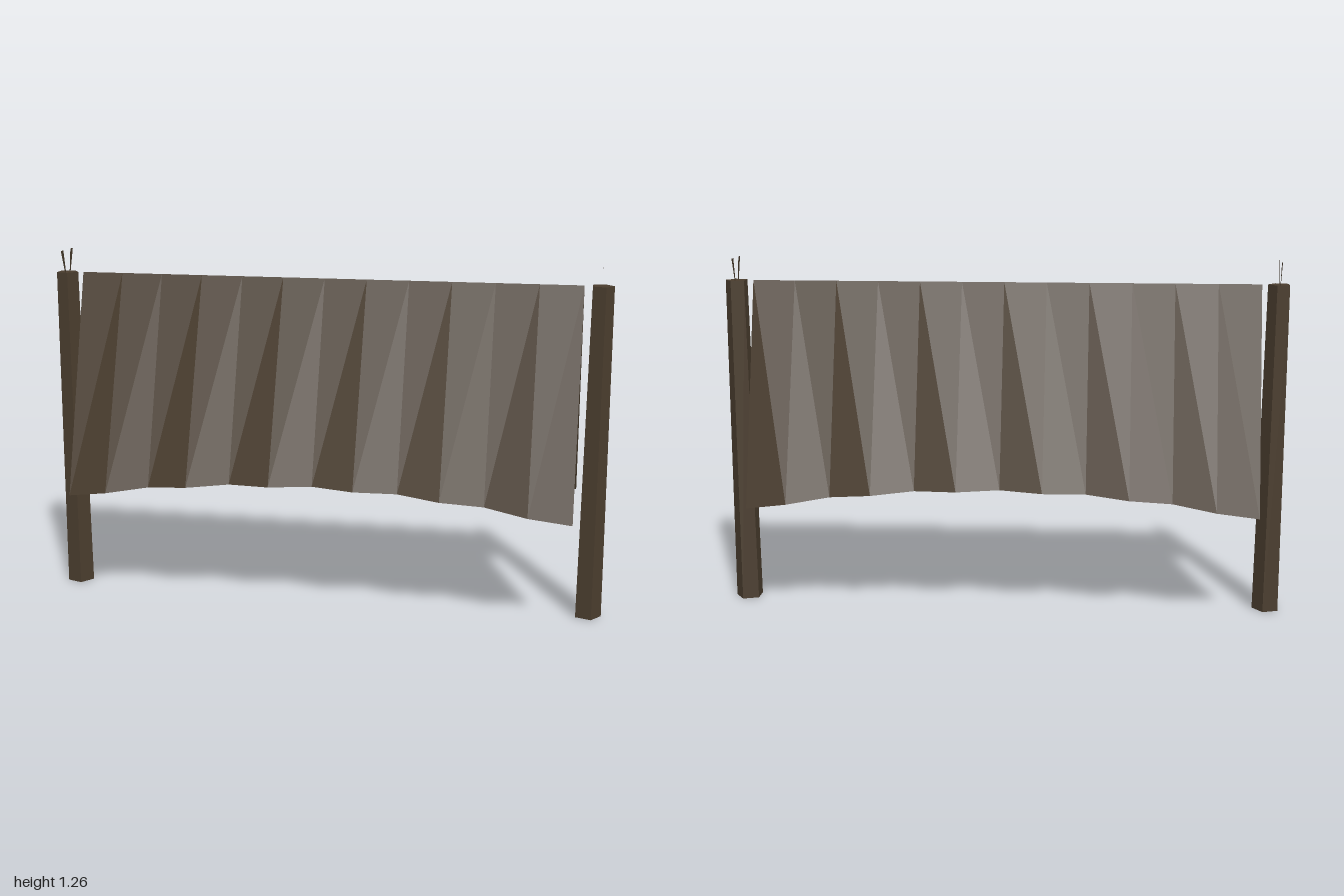
import * as THREE from 'three';

export function createModel() {
  const group = new THREE.Group();
  const hide = new THREE.MeshStandardMaterial({ color: 0x4a3d2e, flatShading: true, side: THREE.DoubleSide });
  hide.name = 'dark brown';

  const add = (name, geometry, x = 0) => {
    const mesh = new THREE.Mesh(geometry, hide);
    mesh.name = name;
    mesh.position.x = x;
    group.add(mesh);
  };

  // One hanging side of the cloth: straight ridge, arched and pleated hem
  const clothSide = (side) => {
    const segments = 12, x0 = -0.9, x1 = 0.89;
    const geo = new THREE.BufferGeometry();
    const pos = [], index = [];
    for (let i = 0; i <= segments; i++) {
      const t = i / segments, u = 2 * t - 1;
      const x = x0 + (x1 - x0) * t;
      pos.push(x, 1.18, 0);
      pos.push(x, 0.4 + 0.085 * (1 - u * u), side * (i % 2 ? 0.257 : 0.225));
      if (i < segments) {
        const top = 2 * i, hem = top + 1, nextTop = top + 2, nextHem = top + 3;
        if (side > 0) index.push(top, hem, nextTop, hem, nextHem, nextTop);
        else index.push(top, nextTop, hem, hem, nextTop, nextHem);
      }
    }
    geo.setAttribute('position', new THREE.Float32BufferAttribute(pos, 3));
    geo.setIndex(index);
    geo.computeVertexNormals();
    return geo;
  };
  add('clothFront', clothSide(1));
  add('clothBack', clothSide(-1));

  // Flat splayed prong in the y-z plane, widening upwards
  const prong = (side) => {
    const shape = new THREE.Shape();
    shape.moveTo(-side * 0.007, 1.127);
    shape.lineTo(-side * 0.057, 1.26);
    shape.lineTo(-side * 0.033, 1.26);
    shape.closePath();
    return new THREE.ShapeGeometry(shape).rotateY(Math.PI / 2);
  };

  // Five-sided tapered posts with a pair of prongs on top
  for (const [name, x] of [['right', -0.96], ['left', 0.95]]) {
    const post = new THREE.CylinderGeometry(0.04, 0.0495, 1.18, 5);
    post.rotateY(Math.PI / 2).translate(0, 0.59, 0);
    add(name + 'Post', post, x);
    add(name + 'FrontProng', prong(1), x);
    add(name + 'BackProng', prong(-1), x);
  }
  return group;
}
